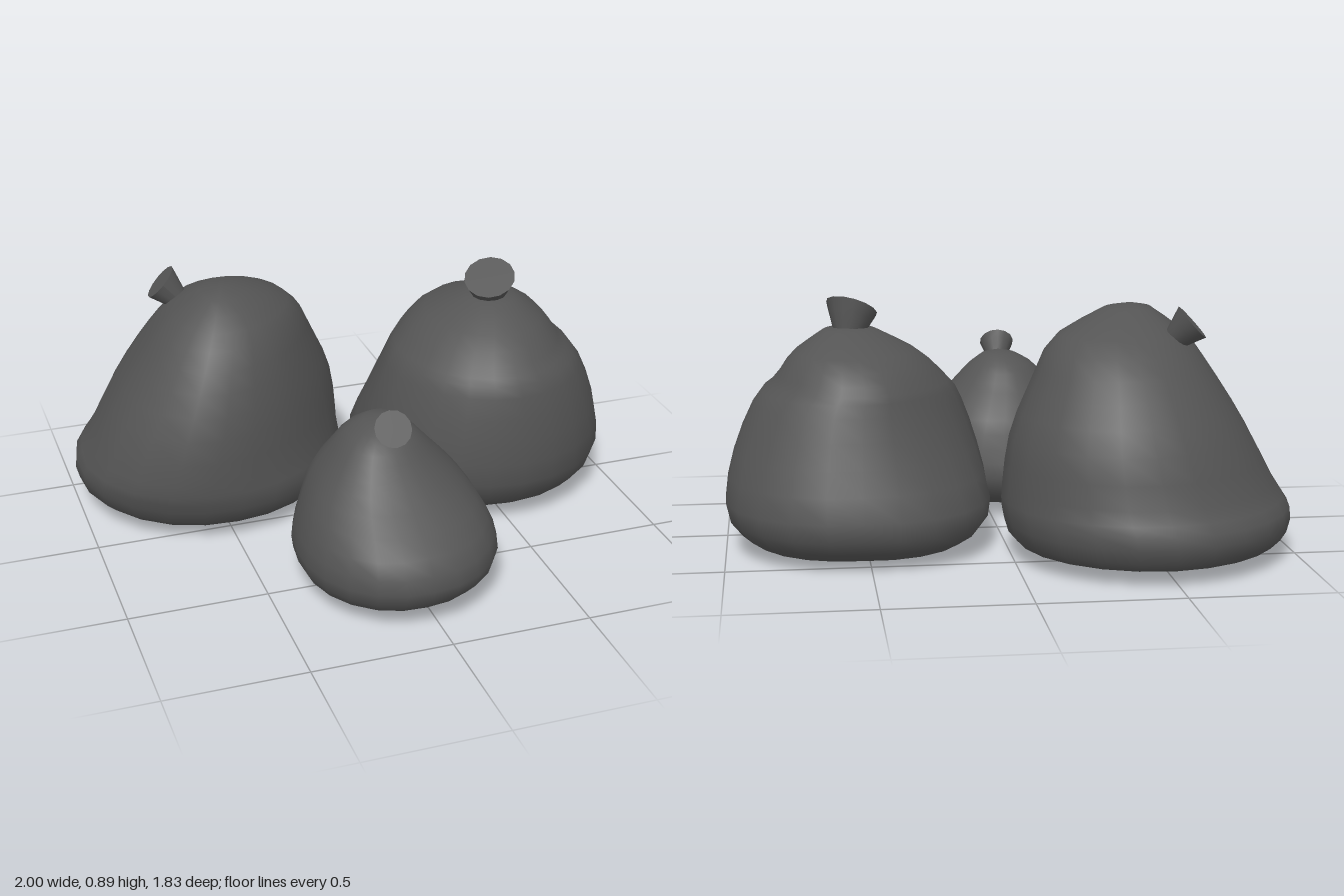
import * as THREE from 'three';

const SEGMENTS = 24;
const STEPS = 16;
const material = new THREE.MeshStandardMaterial({ color: 0x555555, side: THREE.DoubleSide });

// Smooth curve through control values, evenly spaced along the rings
const smooth = (points) => new THREE.CatmullRomCurve3(points, false, 'catmullrom', 0.5);

// Closed skin over elliptical rings [y, xMin, xMax, zMin, zMax], with a pole at each end.
// Each quadrant's corner is swollen by bulges [low, high], from front left round by the right.
function sackSkin(rings, top, bulges) {
  const centres = smooth(rings.map(([y, x0, x1, z0, z1]) => new THREE.Vector3((x0 + x1) / 2, y, (z0 + z1) / 2)));
  const radii = smooth(rings.map(([, x0, x1, z0, z1]) => new THREE.Vector3((x1 - x0) / 2, 0, (z1 - z0) / 2)));
  const points = [], index = [];
  for (let step = 0; step <= STEPS; step++) {
    const t = step / STEPS;
    const c = centres.getPoint(t), r = radii.getPoint(t);
    const rise = THREE.MathUtils.smoothstep(t, 0.2, 0.6);
    for (let i = 0; i < SEGMENTS; i++) {
      const a = (i / SEGMENTS) * Math.PI * 2;
      const [lower, upper] = bulges[Math.floor((i * 4) / SEGMENTS)];
      const swell = 1 + Math.abs(Math.sin(2 * a)) * THREE.MathUtils.lerp(lower, upper, rise);
      points.push(c.x + Math.cos(a) * r.x * swell, c.y, c.z + Math.sin(a) * r.z * swell);
    }
  }
  const base = centres.getPoint(0);
  points.push(base.x, base.y - 0.008, base.z, ...top);
  const last = STEPS * SEGMENTS, low = last + SEGMENTS, high = low + 1;
  for (let i = 0; i < SEGMENTS; i++) {
    const n = (i + 1) % SEGMENTS;
    for (let row = 0; row < last; row += SEGMENTS) {
      const a = row + i, b = row + n;
      index.push(a, a + SEGMENTS, b + SEGMENTS, a, b + SEGMENTS, b);
    }
    index.push(low, i, n, high, last + n, last + i);
  }
  const geometry = new THREE.BufferGeometry();
  geometry.setAttribute('position', new THREE.Float32BufferAttribute(points, 3));
  geometry.setIndex(index);
  geometry.computeVertexNormals();
  return geometry;
}

// Flared neck whose flat mouth is turned to its own direction
function flaredKnot({ from, to, facing, radius }) {
  const start = new THREE.Vector3(...from), end = new THREE.Vector3(...to);
  const up = new THREE.Vector3(0, 1, 0);
  const neckTurn = new THREE.Quaternion().setFromUnitVectors(up, end.clone().sub(start).normalize());
  const mouthTurn = new THREE.Quaternion().setFromUnitVectors(up, new THREE.Vector3(...facing).normalize());
  const geometry = new THREE.CylinderGeometry(radius, radius * 0.5, 1, 14, 3);
  const position = geometry.attributes.position;
  const p = new THREE.Vector3();
  for (let i = 0; i < position.count; i++) {
    p.fromBufferAttribute(position, i);
    const t = p.y + 0.5;
    p.y = 0;
    p.applyQuaternion(neckTurn.clone().slerp(mouthTurn, t)).add(start.clone().lerp(end, t));
    position.setXYZ(i, p.x, p.y, p.z);
  }
  geometry.computeVertexNormals();
  return geometry;
}

function makeSack(name, rings, top, bulges, knot) {
  const sack = new THREE.Group();
  sack.name = name;
  const body = new THREE.Mesh(sackSkin(rings, top, bulges), material);
  body.name = 'sackBody';
  const neck = new THREE.Mesh(flaredKnot(knot), material);
  neck.name = 'tiedNeck';
  sack.add(body, neck);
  return sack;
}

export function createModel() {
  const model = new THREE.Group();
  model.name = 'sacks';

  // Tall sack at the back, leaning forward
  model.add(makeSack('largeSack', [
    [0.033, -0.82, -0.14, -0.74, -0.06],
    [0.06, -0.965, -0.01, -0.88, 0.08],
    [0.16, -1, 0.03, -0.915, 0.13],
    [0.25, -0.95, 0.03, -0.87, 0.13],
    [0.44, -0.85, 0, -0.82, 0.11],
    [0.62, -0.74, -0.08, -0.71, 0.06],
    [0.76, -0.64, -0.16, -0.57, -0.02],
    [0.855, -0.52, -0.35, -0.34, -0.13],
  ], [-0.45, 0.87, -0.22], [[-0.01, -0.12], [0.03, 0.18], [-0.04, -0.03], [0.02, 0.06]],
  { from: [-0.56, 0.75, -0.41], to: [-0.625, 0.825, -0.45], facing: [-0.7, 0.65, -0.15], radius: 0.072 }));

  // Broad sack on the left side, with a fold below the shoulder
  model.add(makeSack('wideSack', [
    [0.008, 0.28, 0.78, -0.4, 0.1],
    [0.04, 0.14, 0.91, -0.55, 0.24],
    [0.15, 0.055, 0.997, -0.63, 0.345],
    [0.34, 0.085, 0.97, -0.57, 0.355],
    [0.53, 0.15, 0.89, -0.505, 0.325],
    [0.6, 0.2, 0.82, -0.475, 0.28],
    [0.69, 0.295, 0.755, -0.4, 0.185],
    [0.77, 0.45, 0.64, -0.19, 0.04],
  ], [0.55, 0.785, -0.08], [[0, 0], [0.01, 0], [0.07, -0.06], [0.05, 0.05]],
  { from: [0.55, 0.74, -0.085], to: [0.535, 0.845, -0.05], facing: [-0.33, 1, 0.5], radius: 0.095 }));

  // Small sack at the front, with a low belly and a round top
  model.add(makeSack('smallSack', [
    [0.026, -0.22, 0.14, 0.3, 0.72],
    [0.055, -0.345, 0.25, 0.17, 0.84],
    [0.14, -0.395, 0.32, 0.1, 0.915],
    [0.26, -0.37, 0.285, 0.12, 0.88],
    [0.38, -0.315, 0.21, 0.16, 0.735],
    [0.48, -0.25, 0.12, 0.245, 0.645],
    [0.55, -0.195, 0.055, 0.305, 0.59],
    [0.592, -0.125, 0, 0.37, 0.525],
  ], [-0.06, 0.607, 0.45], [[0, 0.03], [0.04, 0.1], [0, 0], [-0.08, 0]],
  { from: [-0.06, 0.56, 0.49], to: [-0.07, 0.617, 0.582], facing: [-0.05, 0.6, 0.8], radius: 0.066 }));

  return model;
}
